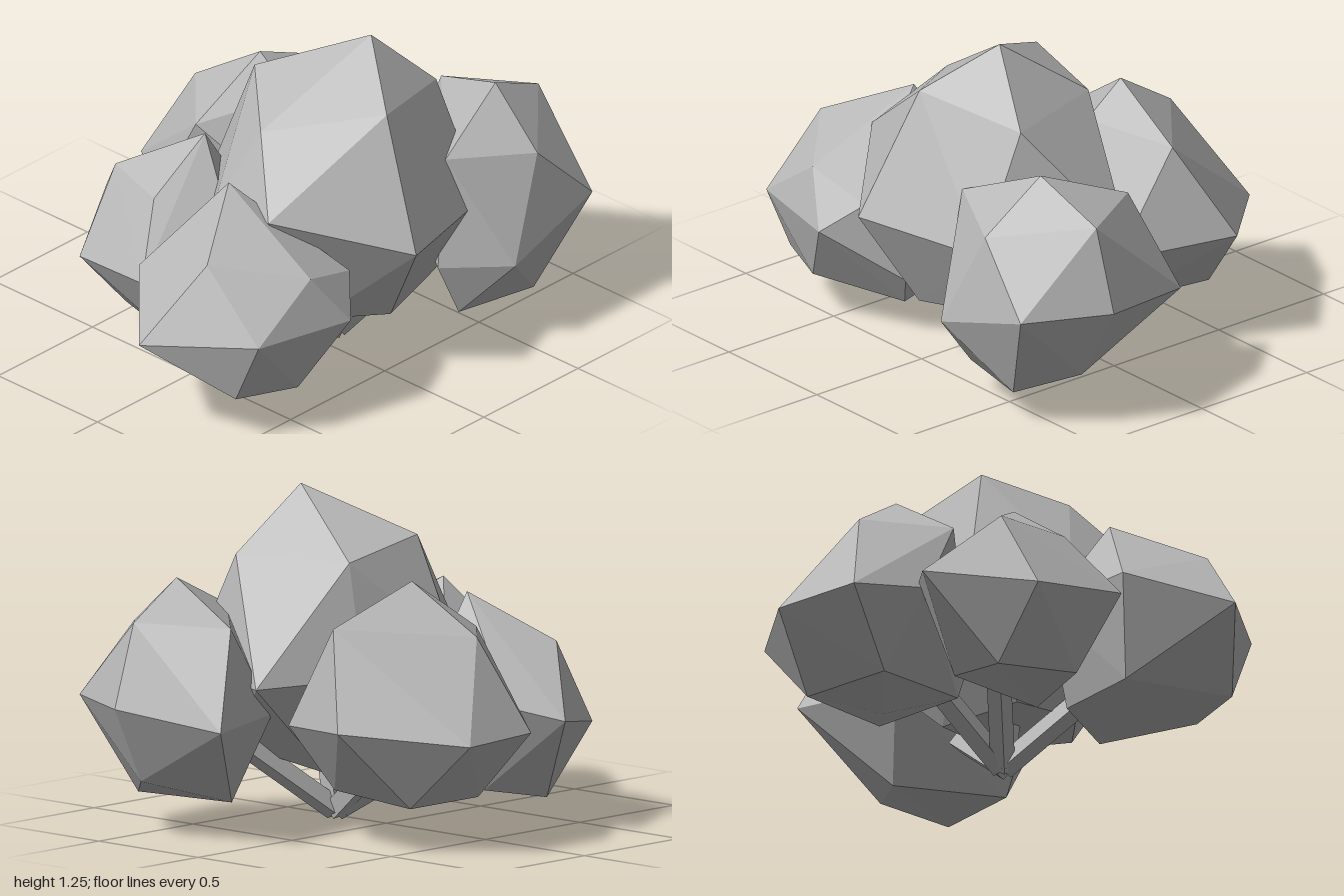
import * as THREE from 'three';
import { ConvexGeometry } from 'three/addons/geometries/ConvexGeometry.js';

const grey = new THREE.MeshStandardMaterial({ color: 0xb8b8b8 });
grey.name = 'lightGrey';
grey.flatShading = true;

const v = (p) => new THREE.Vector3(...p);

// Faceted foliage clump spanned by its corner points
function clump(name, corners) {
  const mesh = new THREE.Mesh(new ConvexGeometry(corners.map(v)), grey);
  mesh.name = name;
  return mesh;
}

// Square stick between two points
function branch(name, from, to, thickness) {
  const a = v(from), b = v(to), dir = b.clone().sub(a);
  const mesh = new THREE.Mesh(new THREE.BoxGeometry(thickness, dir.length(), thickness), grey);
  mesh.position.copy(a).add(b).multiplyScalar(0.5);
  mesh.quaternion.setFromUnitVectors(new THREE.Vector3(0, 1, 0), dir.normalize());
  mesh.name = name;
  return mesh;
}

export function createModel() {
  const group = new THREE.Group();
  group.name = 'bush';

  // Foliage: crown, widest ring, then underside of each clump
  group.add(
    clump('centreFoliage', [
      [0.17, 1.245, 0.27], [0, 1.07, 0.51], [0.41, 1.0, 0.37], [0.27, 1.0, -0.07],
      [-0.06, 1.07, -0.1], [-0.28, 0.97, 0.14],
      [-0.46, 0.74, 0.35], [-0.08, 0.6, 0.735], [0.43, 0.57, 0.58], [0.64, 0.56, 0.05],
      [0.28, 0.58, -0.15], [-0.12, 0.65, -0.24], [-0.39, 0.66, 0.01],
      [0.01, 0.235, 0.52], [0.32, 0.27, 0.45], [-0.17, 0.21, 0.32],
      [0.25, 0.2, 0.06], [-0.1, 0.2, 0.06],
    ]),
    clump('leftFrontFoliage', [
      [0.63, 0.93, 0.46], [0.9, 0.8, 0.42], [0.71, 0.79, 0.11], [0.28, 0.78, 0.54],
      [0.6, 0.74, 0.7],
      [1.0, 0.49, 0.42], [0.85, 0.49, 0.74], [0.42, 0.36, 0.76], [0.24, 0.34, 0.54],
      [0.88, 0.435, 0], [0.5, 0.45, 0.1],
      [0.84, 0.2, 0.44], [0.665, 0.12, 0.62], [0.34, 0.12, 0.55], [0.6, 0.12, 0.21],
    ]),
    clump('rightFrontFoliage', [
      [-0.46, 0.835, 0.15], [-0.77, 0.685, 0.335], [-0.5, 0.62, 0.6], [-0.25, 0.54, 0.56],
      [-1.0, 0.395, 0.21], [-0.77, 0.435, 0.595], [-0.37, 0.425, 0.68],
      [-0.7, 0.5, -0.075], [-0.3, 0.5, -0.02], [-0.18, 0.46, 0.45],
      [-0.77, 0.18, 0.48], [-0.535, 0.17, 0.57], [-0.15, 0.24, 0.45],
      [-0.215, 0.12, 0.4], [-0.63, 0.13, 0.03], [-0.3, 0.13, 0.1],
    ]),
    clump('rightBackFoliage', [
      [-0.26, 0.84, -0.16], [-0.43, 0.67, -0.45], [-0.51, 0.66, -0.18],
      [-0.24, 0.42, -0.675], [-0.61, 0.35, -0.46], [-0.69, 0.42, -0.07],
      [-0.1, 0.47, -0.52], [-0.04, 0.5, -0.15], [-0.35, 0.5, 0.08],
      [-0.4, 0.09, -0.43], [-0.14, 0.14, -0.36], [-0.52, 0.13, -0.12], [-0.24, 0.115, 0],
    ]),
    clump('leftBackFoliage', [
      [0.18, 0.95, -0.3], [0.13, 0.77, -0.58], [0.54, 0.81, -0.245],
      [-0.12, 0.75, -0.34], [0.18, 0.83, -0.14],
      [0.02, 0.42, -0.75], [0.36, 0.41, -0.765], [0.7, 0.46, -0.42], [0.52, 0.42, 0.0],
      [0.1, 0.4, 0.03], [-0.12, 0.45, -0.5],
      [0.42, 0.16, -0.52], [0.06, 0.16, -0.52], [0.25, 0.125, -0.29], [0.4, 0.18, -0.12],
      [0.05, 0.2, -0.1],
    ]),
  );

  // Branches fanning out from one foot into the clumps
  const foot = [0.07, 0.03, 0.19];
  const tips = [
    [-0.28, 0.26, 0.27], [0.38, 0.28, 0.33], [-0.14, 0.25, -0.1], [0.14, 0.27, -0.12],
    [0.07, 0.36, 0.24],
  ];
  tips.forEach((tip, i) => group.add(branch('branch' + (i + 1), foot, tip, 0.064)));

  return group;
}
